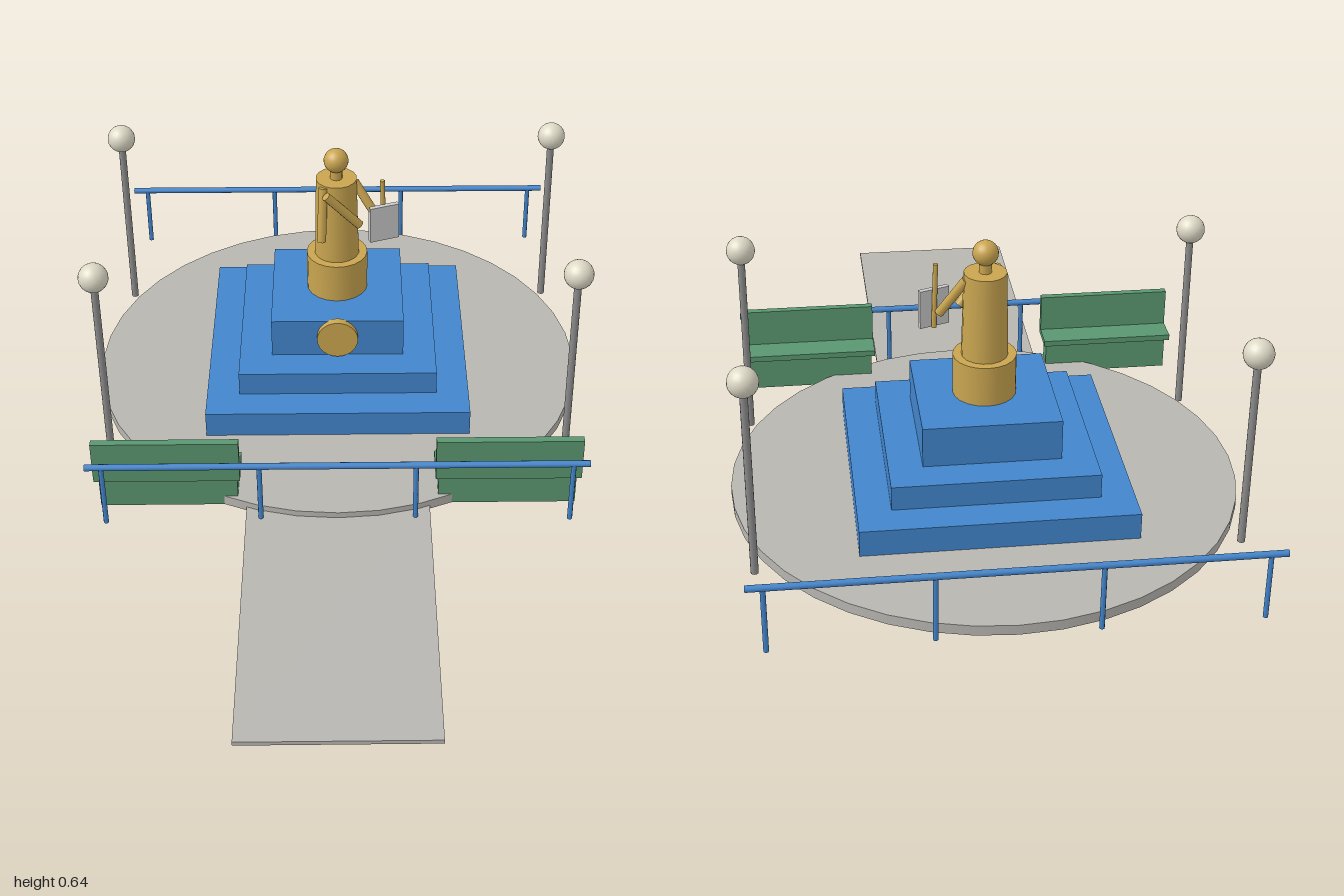
import * as THREE from 'three';

const mat = (color) => new THREE.MeshStandardMaterial({ color });
const paving = mat(0xb8b6b1), blue = mat(0x4285cc), green = mat(0x5a9670);
const gold = mat(0xc9a550), steel = mat(0x8c8c8c), globe = mat(0xddd9c6), grey = mat(0xcccccc);

function add(parent, name, geometry, material, x, y, z) {
  const mesh = new THREE.Mesh(geometry, material);
  mesh.name = name;
  mesh.position.set(x, y, z);
  parent.add(mesh);
  return mesh;
}

// Box given by its bottom height
function box(parent, name, material, w, h, d, x, y, z) {
  return add(parent, name, new THREE.BoxGeometry(w, h, d), material, x, y + h / 2, z);
}

// Upright cylinder given by its bottom height
function post(parent, name, material, rTop, rBottom, h, x, y, z, sides = 16) {
  return add(parent, name, new THREE.CylinderGeometry(rTop, rBottom, h, sides), material, x, y + h / 2, z);
}

// Round bar between two points
function bar(parent, name, material, a, b, r) {
  const from = new THREE.Vector3(...a), to = new THREE.Vector3(...b);
  const dir = to.clone().sub(from);
  const mid = from.clone().add(to).multiplyScalar(0.5);
  const mesh = add(parent, name, new THREE.CylinderGeometry(r, r, dir.length(), 10), material, mid.x, mid.y, mid.z);
  mesh.quaternion.setFromUnitVectors(new THREE.Vector3(0, 1, 0), dir.normalize());
  return mesh;
}

function group(parent, name) {
  const g = new THREE.Group();
  g.name = name;
  parent.add(g);
  return g;
}

export function createModel() {
  const model = new THREE.Group();
  model.name = 'monumentSquare';
  const site = group(model, 'site');
  const turn = -0.592;
  site.position.set(0.035, 0, -0.18);
  site.rotation.y = turn;

  // Round plaza and the path leading to it
  post(site, 'plaza', paving, 0.605, 0.605, 0.025, 0, 0, 0, 40);
  box(site, 'path', paving, 0.426, 0.01, 0.72, 0, 0, 0.908);

  // Stepped plinth
  [[0.64, 0.025, 0.09], [0.482, 0.09, 0.15], [0.323, 0.15, 0.25]].forEach(([size, y0, y1]) =>
    box(site, 'plinthStep', blue, size, y1 - y0, size, 0, y0, 0));

  // Round plaque on the front of the plinth
  const plaque = add(site, 'plaque', new THREE.CylinderGeometry(0.05, 0.05, 0.02, 24), gold, 0, 0.205, 0.167);
  plaque.rotation.x = Math.PI / 2;

  // Railings at front and back
  for (const z of [-0.601, 0.601]) {
    const railing = group(site, 'railing');
    bar(railing, 'handrail', blue, [-0.572, 0.163, z], [0.572, 0.163, z], 0.008);
    for (const x of [-0.535, -0.178, 0.178, 0.535]) post(railing, 'railPost', blue, 0.006, 0.006, 0.16, x, 0, z, 8);
  }

  // Benches facing the statue
  for (const x of [-0.393, 0.393]) {
    const bench = group(site, 'bench');
    box(bench, 'benchBase', green, 0.32, 0.09, 0.04, x, 0, 0.523);
    box(bench, 'benchSeat', green, 0.336, 0.015, 0.085, x, 0.09, 0.523);
    box(bench, 'benchBack', green, 0.336, 0.1, 0.018, x, 0.1, 0.558);
  }

  // Globe lamps
  for (const x of [-0.555, 0.555]) for (const z of [-0.32, 0.32]) {
    const lamp = group(site, 'lamp');
    post(lamp, 'lampPole', steel, 0.009, 0.009, 0.465, x, 0, z, 12);
    add(lamp, 'lampGlobe', new THREE.SphereGeometry(0.035, 20, 14), globe, x, 0.49, z);
  }

  // Statue on a drum
  const statue = group(site, 'statue');
  statue.rotation.y = -turn;
  post(statue, 'drum', gold, 0.075, 0.075, 0.1, 0, 0.25, 0, 20);
  post(statue, 'body', gold, 0.05, 0.055, 0.21, 0, 0.35, 0, 16);
  post(statue, 'neck', gold, 0.015, 0.015, 0.03, 0, 0.555, 0, 12);
  add(statue, 'head', new THREE.SphereGeometry(0.03, 20, 14), gold, 0, 0.608, 0);
  bar(statue, 'rightUpperArm', gold, [-0.048, 0.555, 0.015], [-0.068, 0.42, 0.035], 0.011);
  bar(statue, 'rightForearm', gold, [-0.06, 0.55, 0.045], [0.02, 0.455, 0.07], 0.011);
  bar(statue, 'leftUpperArm', gold, [0.04, 0.545, 0.02], [0.075, 0.45, 0.075], 0.011);
  bar(statue, 'leftRod', gold, [0.074, 0.57, 0.088], [0.08, 0.41, 0.088], 0.006);
  const tablet = box(statue, 'tablet', grey, 0.074, 0.095, 0.012, 0.073, 0.41, 0.097);
  tablet.rotation.y = -0.25;

  return model;
}
